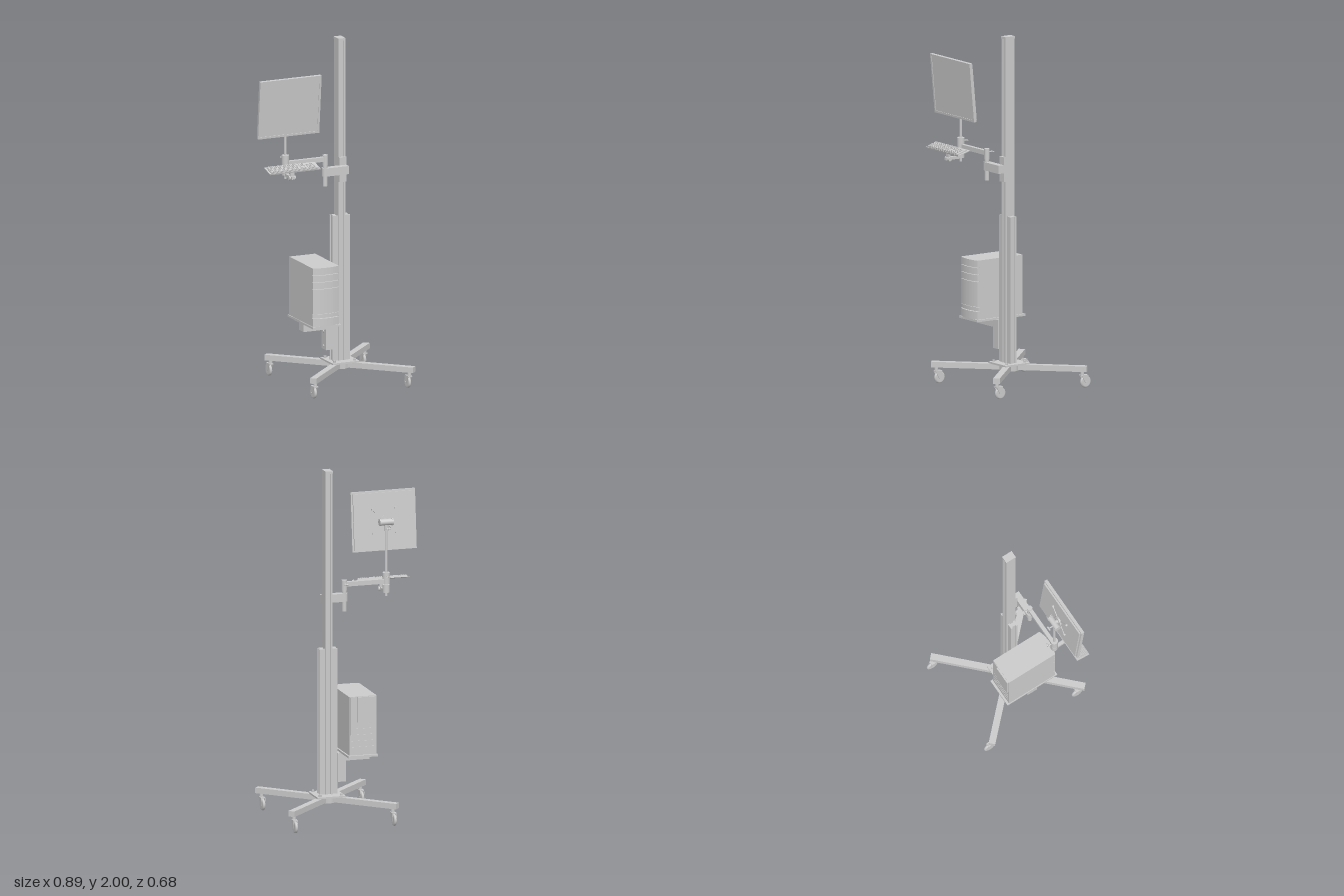
import * as THREE from 'three';
import { mergeGeometries } from 'three/addons/utils/BufferGeometryUtils.js';

const grey = new THREE.MeshStandardMaterial({ color: 0xcccccc });

function add(parent, name, geo, x = 0, y = 0, z = 0) {
  const m = new THREE.Mesh(geo, grey);
  m.name = name;
  m.position.set(x, y, z);
  parent.add(m);
  return m;
}
// Box given by its limits on each axis
function box(parent, name, x0, x1, y0, y1, z0, z1) {
  return add(parent, name, new THREE.BoxGeometry(x1 - x0, y1 - y0, z1 - z0),
    (x0 + x1) / 2, (y0 + y1) / 2, (z0 + z1) / 2);
}
// Cylinder along a chosen axis
function cyl(parent, name, r, len, axis, x, y, z, seg = 24) {
  const g = new THREE.CylinderGeometry(r, r, len, seg);
  if (axis === 'x') g.rotateZ(Math.PI / 2);
  if (axis === 'z') g.rotateX(Math.PI / 2);
  return add(parent, name, g, x, y, z);
}
function group(parent, name, x = 0, y = 0, z = 0) {
  const g = new THREE.Group();
  g.name = name;
  g.position.set(x, y, z);
  parent.add(g);
  return g;
}
// Flat outline in x and z, extruded upwards from y = 0
function upright(points, h) {
  const shape = new THREE.Shape(points.map(([x, z]) => new THREE.Vector2(x, -z)));
  return new THREE.ExtrudeGeometry(shape, { depth: h, bevelEnabled: false }).rotateX(-Math.PI / 2);
}
// Rectangular bar with a groove along two opposite faces
function groovedBar(w, d, half, depth, h, alongX) {
  const a = (alongX ? d : w) / 2, b = (alongX ? w : d) / 2;
  const pts = [[-a, b], [-half, b], [-half, b - depth], [half, b - depth], [half, b], [a, b],
    [a, -b], [half, -b], [half, -b + depth], [-half, -b + depth], [-half, -b], [-a, -b]];
  const g = upright(pts, h);
  return alongX ? g.rotateY(Math.PI / 2) : g;
}
// Thumb screw pointing to the back, with two wings
function wingScrew(parent, x, y, z) {
  const s = group(parent, 'wingScrew', x, y, z);
  cyl(s, 'screwShaft', 0.004, 0.03, 'z', 0, 0, 0.008, 12);
  for (const k of [-1, 1]) {
    const wing = add(s, 'screwWing', new THREE.SphereGeometry(0.008, 12, 8), k * 0.007, 0, -0.01);
    wing.scale.set(1, 0.4, 0.7);
  }
}

function buildBase(root) {
  const base = group(root, 'base', 0.115, 0, 0.005);
  box(base, 'basePlate', -0.083, 0.083, 0.126, 0.136, -0.084, 0.084);
  cyl(base, 'hub', 0.06, 0.034, 'y', 0, 0.109, 0, 8);
  for (const sx of [-1, 1]) for (const sz of [-1, 1]) {
    cyl(base, 'plateBolt', 0.008, 0.012, 'y', sx * 0.063, 0.141, sz * 0.063, 6);
    const leg = box(base, 'leg', 0, 0.443, 0.095, 0.127, -0.019, 0.019);
    leg.geometry.translate(0.2215, 0, 0);
    leg.position.x = 0;
    leg.rotation.y = -Math.atan2(sz, sx);
    // Casters all trail towards the back
    const c = group(base, 'caster', sx * 0.292, 0, sz * 0.295);
    cyl(c, 'casterStem', 0.011, 0.03, 'y', 0, 0.082, 0);
    const w = new THREE.LatheGeometry([[0, -0.007], [0.026, -0.009], [0.033, -0.006], [0.035, 0],
      [0.033, 0.006], [0.026, 0.009], [0, 0.007]].map(p => new THREE.Vector2(...p)), 28).rotateZ(Math.PI / 2);
    add(c, 'wheel', w, 0, 0.035, -0.022);
    for (const k of [-1, 1]) {
      const s = new THREE.Shape([[-0.013, 0.075], [0.032, 0.075], [0.036, 0.055], [0.03, 0.028], [0.014, 0.028]]
        .map(p => new THREE.Vector2(...p)));
      const plate = new THREE.ExtrudeGeometry(s, { depth: 0.003, bevelEnabled: false })
        .rotateY(Math.PI / 2).translate(-0.0015, 0, 0);
      add(c, 'casterFork', plate, k * 0.0115, 0, 0);
    }
    box(c, 'forkTop', -0.013, 0.013, 0.07, 0.075, -0.032, 0.013);
    cyl(c, 'axle', 0.005, 0.028, 'x', 0, 0.035, -0.022, 12);
  }
}

function buildColumn(root) {
  const col = group(root, 'column', 0.111, 0.136, 0.0105);
  add(col, 'mainPost', groovedBar(0.042, 0.062, 0.011, 0.007, 1.852, false));
  box(col, 'postCap', -0.022, 0.022, 1.85, 1.864, -0.032, 0.032);
  for (const k of [-1, 1]) {
    add(col, 'sidePost', groovedBar(0.033, 0.044, 0.011, 0.006, 0.838, true), k * 0.0375, 0, 0.001);
  }
}

function buildComputer(root) {
  const pc = group(root, 'computer');
  box(pc, 'bracketUpright', 0.012, 0.058, 0.205, 0.37, -0.022, 0.042);
  box(pc, 'bracketArm', -0.127, 0.012, 0.325, 0.37, -0.022, 0.042);
  for (const y of [0.225, 0.31]) cyl(pc, 'bracketBolt', 0.008, 0.008, 'x', 0.01, y, 0.01, 6);
  box(pc, 'shelf', -0.132, 0.042, 0.37, 0.382, -0.16, 0.175);
  box(pc, 'caseBody', -0.128, 0.033, 0.382, 0.72, -0.147, 0.15);
  // Bowed front made of stacked panels with thin seams
  const levels = [0.382, 0.43, 0.455, 0.6, 0.64, 0.68, 0.72];
  for (let i = 0; i < levels.length - 1; i++) {
    const pts = [[-0.128, 0.15]];
    const inset = i === 1 ? 0.004 : 0;
    for (let k = 0; k <= 12; k++) {
      const t = k / 6 - 1;
      pts.push([-0.0475 + t * 0.0805, 0.178 - inset - 0.014 * t * t]);
    }
    pts.push([0.033, 0.15]);
    const gap = i < 5 ? 0.003 : 0;
    add(pc, 'frontPanel', upright(pts, levels[i + 1] - levels[i] - gap), 0, levels[i], 0);
  }
  // Rear panels
  box(pc, 'rearConnectorPanel', -0.125, -0.016, 0.57, 0.717, -0.157, -0.147);
  box(pc, 'rearSidePanel', -0.01, 0.028, 0.5, 0.715, -0.149, -0.147);
  for (let i = 0; i < 4; i++) {
    box(pc, 'slotCover', -0.12, 0.02, 0.405 + i * 0.035, 0.43 + i * 0.035, -0.15, -0.147);
  }
}

function buildArm(root) {
  const arm = group(root, 'supportArm');
  box(arm, 'postClamp', 0.09, 0.132, 1.172, 1.315, 0.04, 0.055);
  box(arm, 'lowerArm', -0.01, 0.132, 1.223, 1.27, 0.052, 0.09);
  cyl(arm, 'lowerArmEnd', 0.019, 0.047, 'y', -0.008, 1.2465, 0.071);
  cyl(arm, 'pivotPin', 0.013, 0.18, 'y', -0.008, 1.255, 0.071);
  cyl(arm, 'pivotCollar', 0.0155, 0.06, 'y', -0.008, 1.315, 0.071);
  box(arm, 'upperArm', -0.245, -0.012, 1.308, 1.334, 0.06, 0.082);
  cyl(arm, 'poleSocket', 0.021, 0.065, 'y', -0.256, 1.338, 0.073);
  cyl(arm, 'pole', 0.0075, 0.425, 'y', -0.256, 1.447, 0.073);
  wingScrew(arm, -0.008, 1.325, 0.042);
  wingScrew(arm, -0.256, 1.35, 0.042);
}

function buildKeyboard(root) {
  const kb = group(root, 'keyboardSupport');
  cyl(kb, 'lowerCollar', 0.02, 0.045, 'y', -0.256, 1.278, 0.073);
  box(kb, 'trayBar', -0.266, -0.246, 1.252, 1.268, 0.073, 0.18);
  box(kb, 'trayPost', -0.268, -0.244, 1.26, 1.315, 0.153, 0.167);
  cyl(kb, 'trayHinge', 0.012, 0.04, 'x', -0.256, 1.258, 0.16);
  const tray = group(kb, 'keyboardTray', -0.255, 1.314, 0.165);
  tray.rotation.x = 0.28;
  box(tray, 'tray', -0.157, 0.157, -0.003, 0.001, -0.042, 0.042);
  box(tray, 'trayLip', -0.157, 0.157, 0.001, 0.006, 0.039, 0.042);
  box(tray, 'keyboardBody', -0.147, 0.147, 0.001, 0.008, -0.03, 0.036);
  // Key blocks: start x, columns, rows
  const keys = [];
  for (const [x0, cols, rows] of [[-0.14, 15, 6], [0.047, 3, 6], [0.09, 4, 5]]) {
    for (let r = 0; r < rows; r++) for (let c = 0; c < cols; c++) {
      if (cols === 3 && r === 2) continue;
      if (cols === 15 && r === 0 && c > 3 && c < 11) {
        // Space bar replaces the middle keys of the front row
        if (c === 4) keys.push(new THREE.BoxGeometry(0.082, 0.004, 0.008).translate(x0 + 7 * 0.012, 0.01, 0.029));
        continue;
      }
      keys.push(new THREE.BoxGeometry(0.0098, 0.004, 0.0078).translate(x0 + c * 0.012 + 0.001, 0.01, 0.029 - r * 0.0105));
    }
  }
  add(tray, 'keys', mergeGeometries(keys));
}

function buildMonitor(root) {
  const mount = group(root, 'monitorMount', -0.256, 1.66, 0.073);
  cyl(mount, 'tiltBarrel', 0.018, 0.066, 'x', 0, 0, 0);
  for (const k of [-1, 1]) cyl(mount, 'barrelCap', 0.0205, 0.008, 'x', k * 0.036, 0, 0);
  cyl(mount, 'poleCollar', 0.013, 0.04, 'y', 0, -0.03, 0);
  wingScrew(mount, 0, -0.032, -0.027);
  const mon = group(root, 'monitor', -0.256, 1.66, 0.12);
  mon.rotation.x = 0.095;
  box(mon, 'backShell', -0.18, 0.18, -0.16, 0.16, -0.013, 0.002);
  // Bezel frame around a slightly sunken screen
  const frame = new THREE.Shape([[-0.19, -0.17], [0.19, -0.17], [0.19, 0.17], [-0.19, 0.17]].map(p => new THREE.Vector2(...p)));
  frame.holes.push(new THREE.Path([[-0.178, -0.158], [-0.178, 0.158], [0.178, 0.158], [0.178, -0.158]].map(p => new THREE.Vector2(...p))));
  add(mon, 'bezel', new THREE.ExtrudeGeometry(frame, { depth: 0.018, bevelEnabled: false }), 0, 0, -0.004);
  box(mon, 'screen', -0.179, 0.179, -0.159, 0.159, 0, 0.011);
  // Spider bracket
  cyl(mon, 'mountPlate', 0.03, 0.01, 'z', 0, 0, -0.022);
  cyl(mon, 'mountNeck', 0.014, 0.025, 'z', 0, 0, -0.034);
  for (const sx of [-1, 1]) for (const sy of [-1, 1]) {
    const a = box(mon, 'spiderArm', -0.045, 0.045, -0.005, 0.005, -0.021, -0.017);
    a.position.set(sx * 0.038, sy * 0.038, -0.019);
    a.rotation.z = sx * sy * Math.PI / 4;
    cyl(mon, 'spiderFoot', 0.007, 0.012, 'z', sx * 0.068, sy * 0.068, -0.018, 12);
  }
}

export function createModel() {
  const root = new THREE.Group();
  root.name = 'computerStand';
  for (const build of [buildBase, buildColumn, buildComputer, buildArm, buildKeyboard, buildMonitor]) build(root);
  return root;
}
